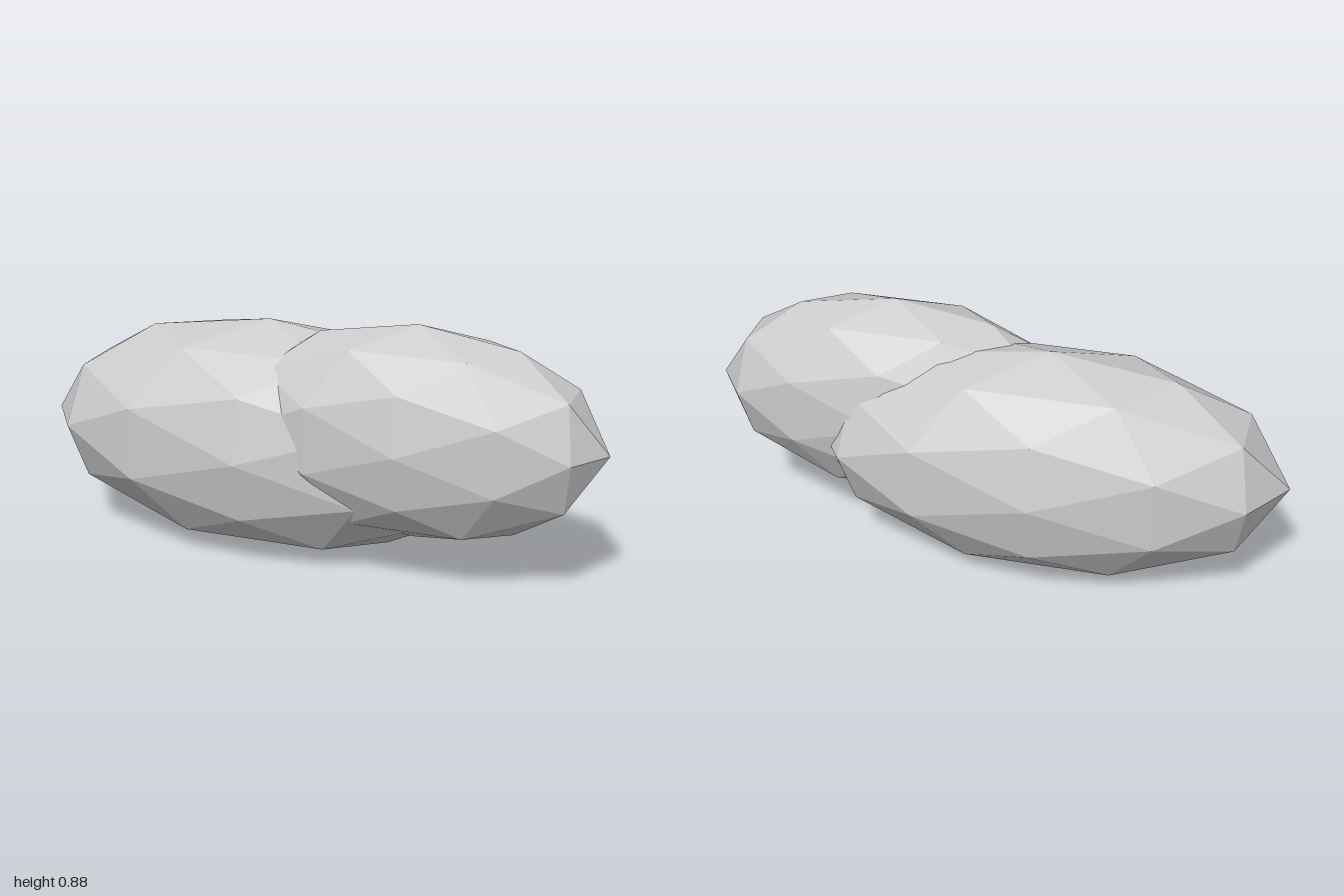
import * as THREE from 'three';

// One faceted ellipsoid lobe with the given centre and half sizes
function lobe(name, centre, radii) {
  const geometry = new THREE.IcosahedronGeometry(1, 1);
  geometry.scale(...radii);
  const material = new THREE.MeshStandardMaterial({ color: 0xcccccc, flatShading: true });
  const mesh = new THREE.Mesh(geometry, material);
  mesh.name = name;
  mesh.position.set(...centre);
  return mesh;
}

export function createModel() {
  const model = new THREE.Group();
  model.name = 'cloud';
  // Large lobe on the model's right, smaller one forward on its left
  model.add(lobe('largePuff', [-0.19, 0.406, -0.011], [0.81, 0.406, 0.345]));
  model.add(lobe('smallPuff', [0.365, 0.512, 0.095], [0.635, 0.367, 0.261]));
  return model;
}
